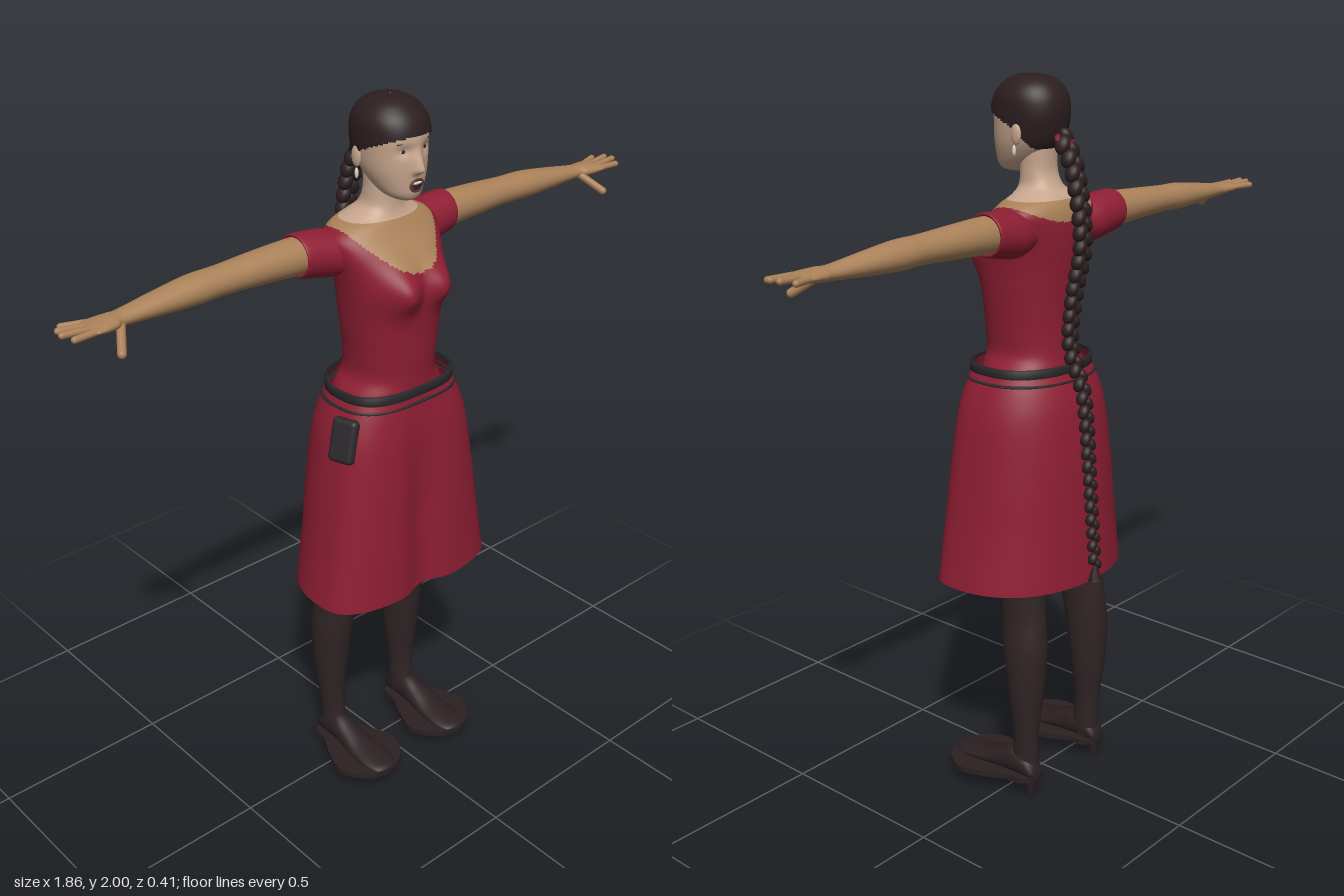
import * as THREE from 'three';
import { RoundedBoxGeometry } from 'three/addons/geometries/RoundedBoxGeometry.js';

const colour = (name, hex) => {
  const m = new THREE.MeshStandardMaterial({ color: hex, side: THREE.DoubleSide });
  m.name = name;
  return m;
};
const gauss = (d, s) => Math.exp(-(d / s) * (d / s));

// Catmull-Rom resampling of key rows
function smooth(keys, n) {
  const out = [], last = keys.length - 1;
  for (let i = 0; i <= n; i++) {
    const f = (i / n) * last, k = Math.min(Math.floor(f), last - 1), t = f - k;
    const [p, a, b, q] = [k - 1, k, k + 1, k + 2].map(j => keys[Math.max(0, Math.min(last, j))]);
    out.push(a.map((v, c) => v + 0.5 * t * (b[c] - p[c] + t * (2 * p[c] - 5 * v + 4 * b[c] - q[c]
      + t * (3 * (v - b[c]) + q[c] - p[c])))));
  }
  return out;
}

// Skin rings of points; pick() gives a material index per face, -1 leaves it out
function loft(name, rows, ring, segs, mats, pick = () => 0) {
  const pos = [], lists = mats.map(() => []);
  for (const r of rows)
    for (let j = 0; j < segs; j++) pos.push(...ring(r, (j / segs) * Math.PI * 2));
  const mid = (a, b, c) => (pos[a * 3 + c] + pos[b * 3 + c]) / 2;
  for (let i = 0; i < rows.length - 1; i++) for (let j = 0; j < segs; j++) {
    const k = (j + 1) % segs, a = i * segs + j, b = i * segs + k, c = b + segs, d = a + segs;
    const m = pick(mid(a, c, 0), mid(a, c, 1), mid(a, c, 2));
    if (m >= 0) lists[m].push(a, b, c, a, c, d);
  }
  const g = new THREE.BufferGeometry();
  g.setAttribute('position', new THREE.Float32BufferAttribute(pos, 3));
  g.setIndex(lists.flat());
  let start = 0;
  lists.forEach((l, i) => { g.addGroup(start, l.length, i); start += l.length; });
  g.computeVertexNormals();
  const mesh = new THREE.Mesh(g, mats.length > 1 ? mats : mats[0]);
  mesh.name = name;
  return mesh;
}

// Upright ring from [y, halfWidth, zFront, zBack, widest z, centre x]
const upright = (front = 2, back = front) => ([y, rx, zf, zb, cz = (zf + zb) / 2, cx = 0], a) => {
  const s = Math.sin(a), c = Math.cos(a), e = 2 / (c > 0 ? front : back);
  return [cx + Math.sign(s) * Math.abs(s) ** e * rx, y,
    cz + Math.sign(c) * Math.abs(c) ** e * (c > 0 ? zf - cz : cz - zb)];
};
// Sideways ring from [x, y, z, halfHeight, halfDepth]
const sideways = ([x, y, z, ry, rz], a) => [x, y + ry * Math.cos(a), z + rz * Math.sin(a)];

export function createModel() {
  const root = new THREE.Group();
  const red = colour('dress red', 0x8e1e33), tan = colour('body skin', 0xaa8159);
  const pale = colour('face skin', 0xc6a58c), hair = colour('hair brown', 0x2c1e1f);
  const stocking = colour('stocking brown', 0x302425), leather = colour('belt black', 0x2a282a);
  const shoe = colour('shoe brown', 0x2b2022), white = colour('white', 0xd8d4cc);
  const lip = colour('lip brown', 0x6b3a34);
  const add = (parent, name, geo, mat, x = 0, y = 0, z = 0, scale = [1, 1, 1]) => {
    const m = new THREE.Mesh(geo, mat);
    m.name = name;
    m.position.set(x, y, z);
    m.scale.set(...scale);
    parent.add(m);
    return m;
  };
  const ball = new THREE.SphereGeometry(1, 16, 12);

  // Bodice, chest and neck in one surface
  const body = upright(2.2);
  root.add(loft('bodiceAndNeck', smooth([
    [1.2, 0.165, 0.155, -0.1], [1.24, 0.145, 0.152, -0.092], [1.28, 0.119, 0.153, -0.086],
    [1.34, 0.12, 0.157, -0.084], [1.4, 0.127, 0.16, -0.086], [1.46, 0.134, 0.163, -0.09],
    [1.52, 0.141, 0.164, -0.095], [1.57, 0.15, 0.152, -0.1], [1.62, 0.165, 0.122, -0.101],
    [1.655, 0.168, 0.093, -0.097], [1.68, 0.14, 0.075, -0.088], [1.697, 0.095, 0.064, -0.074],
    [1.72, 0.058, 0.058, -0.052], [1.76, 0.05, 0.056, -0.036], [1.82, 0.05, 0.06, -0.036],
  ], 140), (r, a) => {
    const p = body(r, a);
    if (p[2] > 0.04) p[2] += 0.04 * gauss(Math.abs(p[0]) - 0.062, 0.047) * gauss(p[1] - 1.53, 0.055);
    return p;
  }, 128, [red, tan, pale], (x, y, z) => {
    const edge = z > 0 ? 1.572 + 0.1 * (x / 0.14) ** 2 : 1.635 + 0.04 * (x / 0.14) ** 2;
    return y < edge || Math.abs(x) > 0.16 ? 0 : y < 1.69 ? 1 : 2;
  }));

  // Skirt with a soft fold down the front
  const outline = upright(2.9, 2.2);
  root.add(loft('skirt', smooth([
    [0.65, 0.287, 0.205, -0.18, 0.07], [0.8, 0.262, 0.2, -0.172, 0.065],
    [0.95, 0.242, 0.193, -0.163, 0.055], [1.1, 0.22, 0.182, -0.148, 0.045],
    [1.18, 0.197, 0.17, -0.13, 0.04], [1.25, 0.165, 0.155, -0.1, 0.03],
  ], 40), (r, a) => {
    const p = outline(r, a);
    if (p[2] > 0) p[2] -= 0.03 * gauss(p[0], 0.055) * Math.min(1, (1.25 - p[1]) / 0.35);
    return p;
  }, 112, [red]));

  // Belt bands
  const band = (name, y0, y1, rx, zf, zb) => root.add(loft(name,
    [[y0, 0], [y0 + 0.002, 0.008], [y1 - 0.002, 0.008], [y1, 0]].map(([y, o]) =>
      [y, rx + o, zf + o, zb - o, 0.03]), outline, 72, [leather]));
  band('belt', 1.23, 1.256, 0.169, 0.155, -0.1);
  band('lowerStrap', 1.209, 1.217, 0.18, 0.159, -0.112);
  const pouch = add(root, 'pouch', new RoundedBoxGeometry(0.035, 0.12, 0.075, 3, 0.014), leather, -0.203, 1.14, 0.09);
  pouch.rotation.set(0, 0.3, -0.28);

  // Head, with nose and eye sockets pressed into the surface
  const skull = [
    [1.748, 0.004, 0.1, 0.07], [1.753, 0.028, 0.122, 0.05], [1.768, 0.05, 0.132, 0.022],
    [1.795, 0.066, 0.136, -0.015], [1.83, 0.079, 0.138, -0.046], [1.87, 0.085, 0.138, -0.06],
    [1.91, 0.087, 0.138, -0.064], [1.945, 0.082, 0.127, -0.057], [1.972, 0.064, 0.104, -0.038],
    [1.988, 0.038, 0.076, -0.008], [1.993, 0.002, 0.04, 0.036],
  ];
  const oval = upright(2.1);
  root.add(loft('face', smooth(skull, 80), (r, a) => {
    const p = oval(r, a), [x, y] = p;
    if (p[2] > 0.05) {
      const ridge = y > 1.832 ? Math.max(0, 1 - (y - 1.832) / 0.055) : Math.max(0, 1 - (1.832 - y) / 0.014);
      p[2] += 0.026 * ridge * gauss(x, 0.013) - 0.008 * gauss(Math.abs(x) - 0.034, 0.018) * gauss(y - 1.88, 0.014);
    }
    return p;
  }, 96, [pale]));

  // Close-combed hair cap
  const hairline = z => z > 0.03 ? 1.875 + (z - 0.03) * 0.38 : z > -0.02 ? 1.82 + (z + 0.02) * 1.1 : 1.815;
  root.add(loft('hairCap', smooth(skull, 90), (r, a) => {
    const [x, y, z] = oval(r, a);
    return [x * 1.07, 1.85 + (y - 1.85) * 1.045, 0.037 + (z - 0.037) * 1.06];
  }, 96, [hair], (x, y, z) => y > hairline(z) ? 0 : -1));

  // Face details
  add(root, 'openMouth', ball, leather, 0, 1.793, 0.135, [0.02, 0.015, 0.004]);
  add(root, 'teeth', ball, white, 0, 1.799, 0.138, [0.015, 0.004, 0.003]);
  add(root, 'lips', new THREE.TorusGeometry(0.02, 0.004, 8, 28), lip, 0, 1.793, 0.136, [1, 0.75, 0.8]);
  for (const s of [-1, 1]) {
    add(root, 'eye', ball, white, s * 0.034, 1.88, 0.119, [0.014, 0.007, 0.005]).rotation.y = s * 0.35;
    add(root, 'iris', ball, leather, s * 0.034, 1.88, 0.122, [0.006, 0.006, 0.004]);
    const brow = add(root, 'eyebrow', ball, hair, s * 0.037, 1.901, 0.125, [0.019, 0.003, 0.004]);
    brow.rotation.set(0, s * 0.4, -s * 0.12);
    add(root, 'ear', ball, pale, s * 0.087, 1.855, 0.012, [0.008, 0.027, 0.016]);
    add(root, 'earring', ball, white, s * 0.09, 1.814, 0.016, [0.005, 0.014, 0.005]);
  }

  // Braid of alternating strands, tied at both ends
  const path = new THREE.CatmullRomCurve3([
    [1.845, -0.07], [1.8, -0.098], [1.74, -0.118], [1.58, -0.138], [1.45, -0.112], [1.31, -0.1],
    [1.18, -0.146], [0.97, -0.168], [0.76, -0.186], [0.7, -0.191]].map(([y, z]) => new THREE.Vector3(0, y, z)));
  const braid = new THREE.Group();
  braid.name = 'braid';
  root.add(braid);
  for (let i = 0; i <= 62; i++) {
    const t = i / 62, p = path.getPointAt(t), s = i % 2 ? 1 : -1, w = 1 - 0.35 * t;
    const knot = add(braid, 'strand', ball, hair, s * 0.012 * w, p.y, p.z, [0.019 * w, 0.027 * w, 0.021 * w]);
    knot.rotation.z = s * 0.55;
  }
  add(braid, 'tuft', new THREE.ConeGeometry(0.02, 0.06, 12), hair, 0, 0.683, -0.192);
  const tie = add(root, 'hairTie', new THREE.TorusGeometry(0.019, 0.009, 10, 20), red, 0, 1.838, -0.076);
  tie.rotation.x = 1.1;

  // Limbs, built for the left and mirrored
  for (const s of [1, -1]) {
    const side = new THREE.Group();
    side.name = s > 0 ? 'leftLimbs' : 'rightLimbs';
    side.scale.x = s;
    root.add(side);

    side.add(loft('arm', smooth([
      [0.15, 1.622, -0.028, 0.045, 0.05], [0.25, 1.626, -0.03, 0.048, 0.05], [0.36, 1.627, -0.032, 0.043, 0.047],
      [0.48, 1.626, -0.032, 0.037, 0.042], [0.56, 1.624, -0.032, 0.037, 0.043], [0.66, 1.62, -0.03, 0.029, 0.036],
      [0.76, 1.616, -0.026, 0.019, 0.027], [0.79, 1.616, -0.022, 0.018, 0.034], [0.83, 1.617, -0.02, 0.014, 0.04],
      [0.852, 1.618, -0.02, 0.009, 0.037], [0.856, 1.618, -0.02, 0.001, 0.002],
    ], 60), sideways, 32, [tan]));
    side.add(loft('sleeve', smooth([
      [0.105, 1.61, -0.018, 0.05, 0.06], [0.15, 1.612, -0.023, 0.061, 0.066], [0.19, 1.618, -0.027, 0.061, 0.063],
      [0.25, 1.626, -0.03, 0.056, 0.058], [0.25, 1.626, -0.03, 0.046, 0.048],
    ], 24), sideways, 40, [red]));

    // Fingers: [start x, y, z, end x, y, z]
    [[0.84, 1.618, -0.05, 0.893, 1.619, -0.066], [0.845, 1.619, -0.031, 0.915, 1.624, -0.039],
      [0.845, 1.619, -0.011, 0.92, 1.624, -0.013], [0.84, 1.618, 0.009, 0.905, 1.618, 0.014],
      [0.775, 1.608, -0.005, 0.812, 1.567, 0.05]].forEach((f, i) => {
      const a = new THREE.Vector3(...f.slice(0, 3)), b = new THREE.Vector3(...f.slice(3));
      const finger = add(side, i < 4 ? 'finger' : 'thumb',
        new THREE.CapsuleGeometry(i < 4 ? 0.0085 : 0.011, a.distanceTo(b), 6, 12), tan);
      finger.position.copy(a).lerp(b, 0.5);
      finger.quaternion.setFromUnitVectors(new THREE.Vector3(0, 1, 0), b.sub(a).normalize());
    });

    // Leg
    side.add(loft('leg', smooth([
      [0.07, 0.03, -0.015, -0.095, -0.055, 0.138], [0.12, 0.032, -0.015, -0.094, -0.055, 0.136],
      [0.2, 0.036, -0.02, -0.096, -0.058, 0.138], [0.32, 0.05, -0.008, -0.111, -0.06, 0.138],
      [0.45, 0.056, 0.01, -0.12, -0.055, 0.136], [0.55, 0.053, 0.025, -0.112, -0.043, 0.128],
      [0.66, 0.06, 0.042, -0.102, -0.03, 0.124], [0.85, 0.077, 0.08, -0.1, -0.01, 0.115],
      [1.1, 0.09, 0.1, -0.1, 0, 0.1],
    ], 50), upright(), 36, [stocking]));

    // Foot: rings [z, top height, half width] from toe to heel
    side.add(loft('foot', smooth([
      [0.198, 0.062, 0.006], [0.185, 0.074, 0.034], [0.14, 0.084, 0.047], [0.085, 0.096, 0.046],
      [0.03, 0.118, 0.04], [-0.02, 0.138, 0.036], [-0.07, 0.125, 0.033], [-0.098, 0.09, 0.024], [-0.103, 0.065, 0.004],
    ], 36), ([z, top, w], a) =>
      [0.14 + w * Math.cos(a), (top + 0.052) / 2 + (top - 0.052) / 2 * Math.sin(a), z], 32, [shoe]));

    // Broad flat sole and small heel
    const edge = [[0, 0.2], [0.06, 0.18], [0.107, 0.11], [0.085, 0.03], [0.055, -0.03], [0.045, -0.08], [0, -0.103]];
    const points = [...edge, ...edge.slice(1, -1).reverse().map(([x, z]) => [-x, z])].map(p => new THREE.Vector2(...p));
    const sole = new THREE.ExtrudeGeometry(new THREE.Shape(new THREE.SplineCurve([...points, points[0]]).getPoints(60)),
      { depth: 0.015, bevelEnabled: false });
    sole.rotateX(Math.PI / 2);
    add(side, 'sole', sole, shoe, 0.14, 0.066, 0);
    add(side, 'heel', new THREE.CylinderGeometry(0.022, 0.011, 0.056, 16), shoe, 0.145, 0.028, -0.08);
  }
  return root;
}
